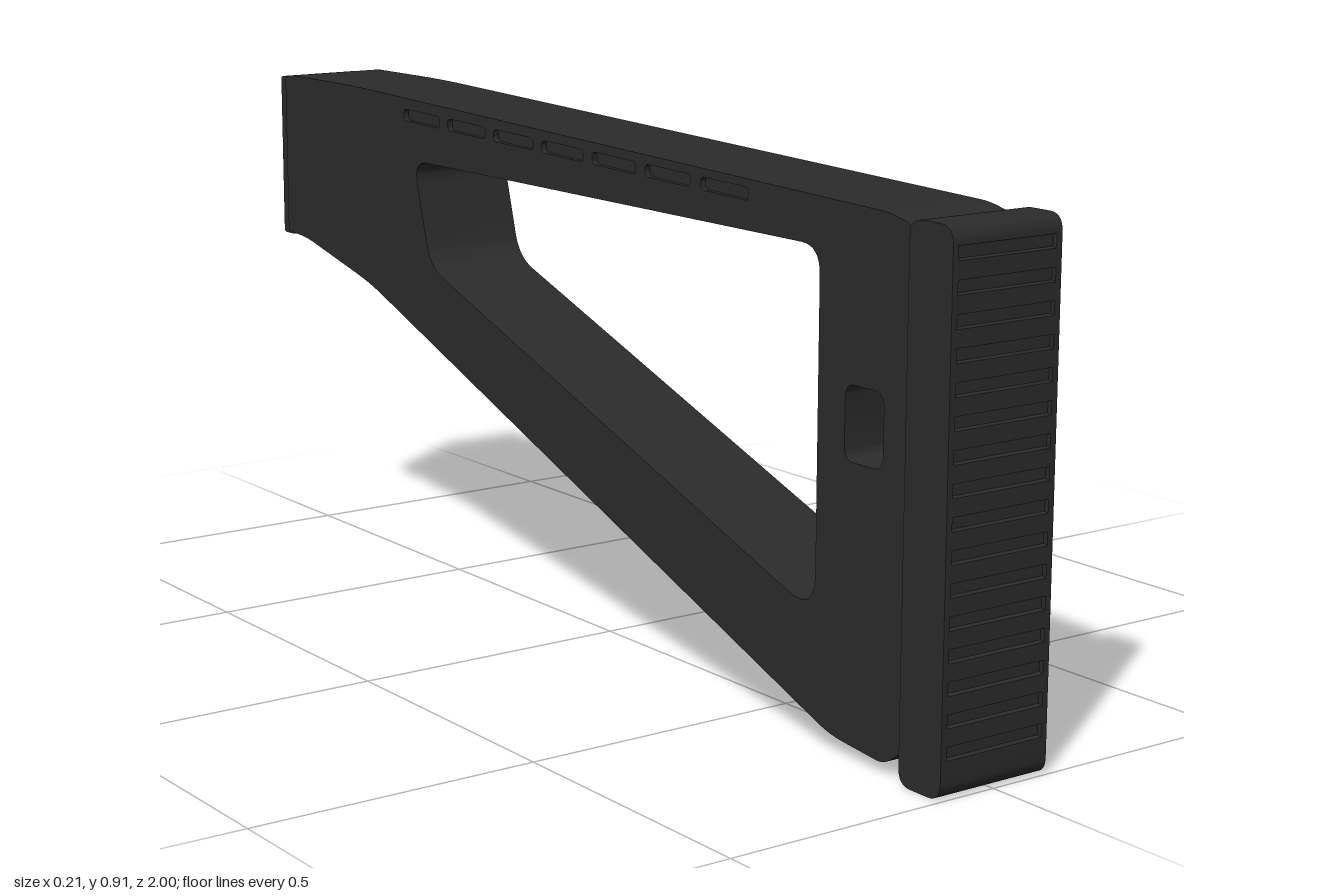
import * as THREE from 'three';
import { toCreasedNormals } from 'three/addons/utils/BufferGeometryUtils.js';

// Closed path through [z, y, cornerRadius] points, with rounded corners
function trace(path, pts) {
  const n = pts.length;
  pts.forEach(([z, y, r = 0], i) => {
    const toward = ([a, b]) => {
      const d = Math.hypot(a - z, b - y);
      return [z + ((a - z) * r) / d, y + ((b - y) * r) / d];
    };
    const p = toward(pts[(i + n - 1) % n]);
    const q = toward(pts[(i + 1) % n]);
    if (i === 0) path.moveTo(...p);
    else path.lineTo(...p);
    if (r > 0) path.quadraticCurveTo(z, y, ...q);
  });
  path.closePath();
  return path;
}

const rect = (z0, z1, y0, y1, r) => [[z0, y0, r], [z1, y0, r], [z1, y1, r], [z0, y1, r]];

export function createModel() {
  const group = new THREE.Group();
  const black = new THREE.MeshStandardMaterial({ color: 0x2b2b2b });
  black.name = 'matte black';

  // Side profile in (z, y) extruded across x from x0 to x1
  function slab(name, outline, holes, x0, x1) {
    const shape = trace(new THREE.Shape(), outline);
    shape.holes = holes.map((h) => trace(new THREE.Path(), h));
    let geo = new THREE.ExtrudeGeometry(shape, { depth: x1 - x0, bevelEnabled: false, curveSegments: 8 });
    geo.rotateY(-Math.PI / 2);
    geo.translate(x1, 0, 0);
    geo = toCreasedNormals(geo, 0.5);
    const mesh = new THREE.Mesh(geo, black);
    mesh.name = name;
    group.add(mesh);
  }

  // Stock frame: core plus two side skins that carry the shallow slots
  const frame = [
    [0.905, 0.05], [0.905, 0.68], [0.898, 0.685], [0.898, 0.857, 0.01], [0.85, 0.868, 0.02],
    [-0.7, 0.915, 0.08], [-0.94, 0.914, 0.01], [-0.96, 0.905],
    [-0.96, 0.605], [-0.89, 0.601, 0.03], [-0.65, 0.545, 0.05],
    [0.73, 0.03, 0.03], [0.86, 0.018, 0.02],
  ];
  const opening = [[0.69, 0.797, 0.045], [-0.485, 0.797, 0.045], [-0.432, 0.606, 0.045], [0.69, 0.214, 0.07]];
  const slingHole = rect(0.755, 0.845, 0.475, 0.595, 0.022);
  const slots = [];
  for (let i = 0; i < 7; i++) {
    const z = 0.45 - i * 0.151;
    const y = 0.856 + i * 0.0035;
    slots.push([[z - 0.062, y - 0.009, 0.009], [z + 0.062, y - 0.012, 0.009],
      [z + 0.062, y + 0.009, 0.009], [z - 0.062, y + 0.012, 0.009]]);
  }
  slab('frameCore', frame, [opening, slingHole], -0.088, 0.088);
  slab('leftFrameSkin', frame, [opening, slingHole, ...slots], 0.088, 0.098);
  slab('rightFrameSkin', frame, [opening, slingHole, ...slots], -0.098, -0.088);

  // Butt pad: grooved middle between two plain cheeks
  const plain = rect(0.905, 1, 0, 0.868, 0.028);
  const grooved = plain.slice(0, 2);
  for (let i = 0; i < 16; i++) {
    const y = 0.073 + i * 0.0503;
    grooved.push([1, y - 0.011], [0.992, y - 0.009], [0.992, y + 0.009], [1, y + 0.011]);
  }
  grooved.push(...plain.slice(2));
  slab('buttPadGrooves', grooved, [], -0.096, 0.096);
  slab('leftPadCheek', plain, [], 0.096, 0.107);
  slab('rightPadCheek', plain, [], -0.107, -0.096);

  // Mounting plate at the narrow end
  slab('mountingPlate', rect(-1, -0.958, 0.597, 0.907, 0.008), [], -0.085, 0.085);

  return group;
}
